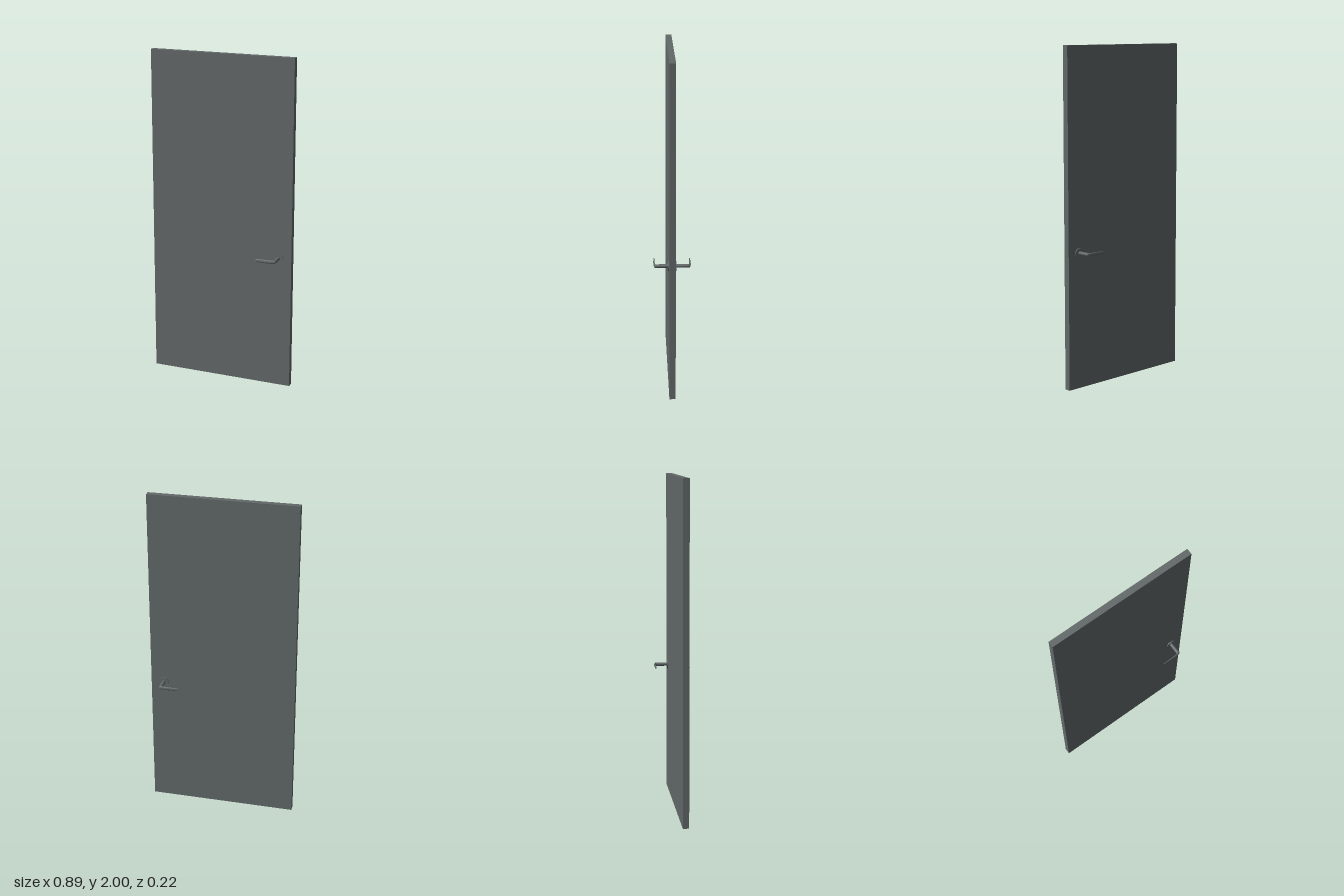
import * as THREE from 'three';

const SIDES = 24;

// Lever cross-sections: [outer x, outer z, inner x, inner z, half height]
const SECTIONS = [
  [0.376, 0.018, 0.355, 0.018, 0.0105],
  [0.376, 0.085, 0.355, 0.085, 0.0105],
  [0.376, 0.098, 0.355, 0.092, 0.0105],
  [0.373, 0.103, 0.352, 0.095, 0.0105],
  [0.355, 0.106, 0.345, 0.097, 0.0102],
  [0.335, 0.108, 0.333, 0.099, 0.01],
  [0.300, 0.108, 0.300, 0.100, 0.01],
  [0.262, 0.107, 0.262, 0.101, 0.0098],
  [0.255, 0.107, 0.255, 0.101, 0.008],
  [0.251, 0.107, 0.251, 0.101, 0.005],
  [0.250, 0.106, 0.250, 0.102, 0.002],
];

// Elliptical loops joined along the bent lever, closed at the tip
function leverGeometry() {
  const positions = [];
  const indices = [];
  SECTIONS.forEach(([ox, oz, ix, iz, h], i) => {
    for (let j = 0; j < SIDES; j++) {
      const a = (j / SIDES) * Math.PI * 2;
      const c = Math.cos(a) / 2;
      positions.push(
        (ox + ix) / 2 + c * (ox - ix),
        Math.sin(a) * h,
        (oz + iz) / 2 + c * (oz - iz)
      );
      if (i === SECTIONS.length - 1) continue;
      const p = i * SIDES + j;
      const q = i * SIDES + ((j + 1) % SIDES);
      indices.push(p, q, p + SIDES, q, q + SIDES, p + SIDES);
    }
  });
  const last = (SECTIONS.length - 1) * SIDES;
  for (let j = 1; j < SIDES - 1; j++) indices.push(last, last + j, last + j + 1);

  const geometry = new THREE.BufferGeometry();
  geometry.setAttribute('position', new THREE.Float32BufferAttribute(positions, 3));
  geometry.setIndex(indices);
  geometry.computeVertexNormals();
  return geometry;
}

export function createModel() {
  const model = new THREE.Group();
  model.name = 'door';

  const grey = new THREE.MeshStandardMaterial({ color: 0x626868 });
  grey.name = 'slate grey';

  // Door leaf
  const leaf = new THREE.Mesh(new THREE.BoxGeometry(0.89, 2, 0.037), grey);
  leaf.name = 'doorLeaf';
  leaf.position.y = 1;
  model.add(leaf);

  // One handle on each face; the back one is turned about the x axis
  const leverShape = leverGeometry();
  const roseShape = new THREE.CylinderGeometry(0.0285, 0.0285, 0.008, 40).rotateX(Math.PI / 2);
  for (const side of ['front', 'back']) {
    const handle = new THREE.Group();
    handle.name = side + 'Handle';

    const rose = new THREE.Mesh(roseShape, grey);
    rose.name = side + 'Rose';
    rose.position.set(0.3665, 0, 0.021);

    const lever = new THREE.Mesh(leverShape, grey);
    lever.name = side + 'Lever';

    handle.add(rose, lever);
    handle.position.y = 0.81;
    if (side === 'back') handle.rotation.x = Math.PI;
    model.add(handle);
  }

  return model;
}
